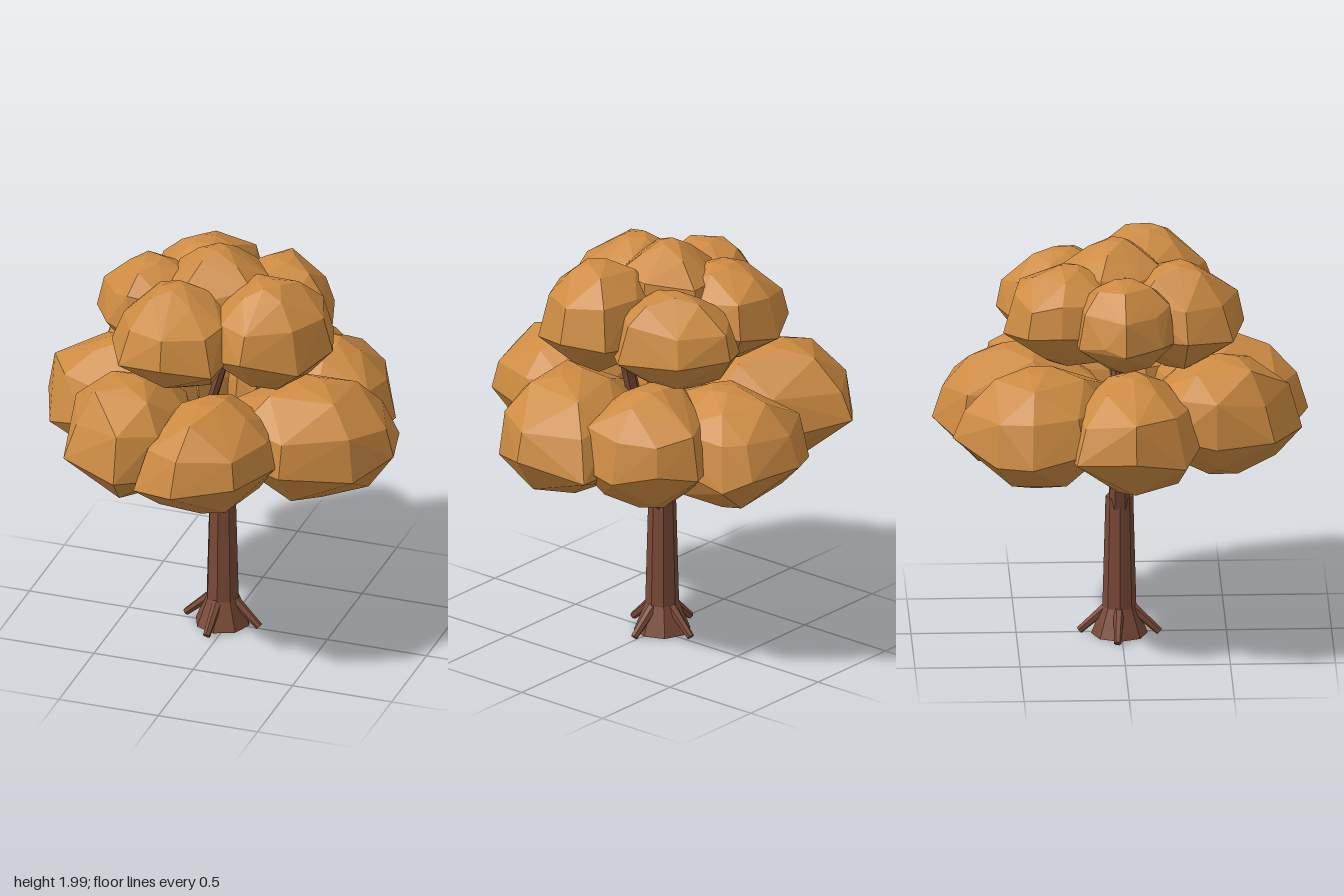
import * as THREE from 'three';
import { ConvexGeometry } from 'three/addons/geometries/ConvexGeometry.js';

const foliage = new THREE.MeshStandardMaterial({ name: 'autumnLeaf', color: 0xcd8b42, flatShading: true });
const bark = new THREE.MeshStandardMaterial({ name: 'bark', color: 0x7a4a37, flatShading: true });

// Repeatable noise in -1..1
function noise(n) {
  const s = Math.sin(n * 12.9898) * 43758.5453;
  return (s - Math.floor(s)) * 2 - 1;
}

// Clump cross-sections: [height fraction, width fraction, width unevenness, height unevenness]
const PROFILE = [
  [0, 0.28, 0, 0], [0.1, 0.64, 0.06, 0.04], [0.37, 1, 0, 0.07],
  [0.71, 0.86, 0.07, 0.05], [0.92, 0.5, 0.08, 0.04], [1, 0.18, 0, 0],
];

// Faceted leaf clump: a plan outline (x, z pairs) stacked between two heights
function clump(name, y0, y1, outline, seed) {
  const corners = [];
  for (let i = 0; i < outline.length; i += 2) corners.push(new THREE.Vector2(outline[i], outline[i + 1]));
  const mid = new THREE.Box2().setFromPoints(corners).getCenter(new THREE.Vector2());
  const points = [];
  PROFILE.forEach(([t, width, unevenWidth, unevenHeight], ring) => {
    corners.forEach((c, i) => {
      // rings above and below the belly carry every other corner, for larger facets
      if (ring !== 2 && ring !== 3 && (i + ring) % 2) return;
      const n = seed * 71 + ring * 11 + i;
      const k = width + unevenWidth * noise(n);
      const y = y0 + (y1 - y0) * (t + unevenHeight * noise(n + 0.5));
      points.push(new THREE.Vector3(mid.x + (c.x - mid.x) * k, y, mid.y + (c.y - mid.y) * k));
    });
  });
  const mesh = new THREE.Mesh(new ConvexGeometry(points), foliage);
  mesh.name = name;
  return mesh;
}

// Tapered faceted limb between two points
function limb(name, from, to, r0, r1, sides) {
  const a = new THREE.Vector3(...from);
  const b = new THREE.Vector3(...to);
  const mesh = new THREE.Mesh(new THREE.CylinderGeometry(r1, r0, a.distanceTo(b), sides), bark);
  mesh.position.copy(a).add(b).multiplyScalar(0.5);
  mesh.quaternion.setFromUnitVectors(new THREE.Vector3(0, 1, 0), b.sub(a).normalize());
  mesh.name = name;
  return mesh;
}

export function createModel() {
  const tree = new THREE.Group();
  tree.name = 'tree';
  const cx = -0.03, cz = -0.01;

  // Trunk with flared foot
  tree.add(limb('trunk', [cx, 0.1, cz], [cx, 0.7, cz], 0.082, 0.066, 8));
  tree.add(limb('trunkFlare', [cx, 0.01, cz], [cx, 0.15, cz], 0.135, 0.08, 8));

  // Four roots
  for (let i = 0; i < 4; i++) {
    const a = (i * Math.PI) / 2 + 0.08;
    const c = Math.cos(a), s = Math.sin(a);
    tree.add(limb('root' + (i + 1),
      [cx + c * 0.19, 0.02, cz + s * 0.19], [cx + c * 0.06, 0.14, cz + s * 0.06], 0.018, 0.025, 6));
  }

  // Forked branches
  tree.add(limb('rightBranch', [-0.05, 0.66, cz], [-0.29, 1.55, 0.0], 0.05, 0.03, 6));
  tree.add(limb('leftBranch', [-0.01, 0.66, cz], [0.25, 1.55, 0.0], 0.05, 0.03, 6));
  tree.add(limb('middleBranch', [-0.14, 1.0, cz], [0.04, 1.6, 0.02], 0.025, 0.022, 6));

  // Wide lower ring, starting at the back right and running round
  const lower = [
    [0.91, 1.47, [-0.47, -0.82, -0.71, -0.62, -0.8, -0.45, -0.73, -0.2, -0.5, -0.03, -0.15, -0.02, 0, -0.3, -0.16, -0.58]],
    [0.85, 1.42, [0.02, -0.9, 0.31, -0.85, 0.4, -0.74, 0.41, -0.4, 0.25, -0.1, 0, -0.08, -0.2, -0.35, -0.21, -0.77]],
    [0.88, 1.46, [0.47, -0.65, 0.63, -0.53, 0.73, -0.33, 0.7, -0.1, 0.45, 0.05, 0.1, 0, 0.08, -0.35, 0.25, -0.57]],
    [0.88, 1.45, [0.79, -0.21, 0.88, 0.13, 0.75, 0.35, 0.43, 0.5, 0.18, 0.42, 0.05, 0.12, 0.22, -0.15, 0.5, -0.22]],
    [0.91, 1.46, [0.41, 0.5, 0.3, 0.77, 0.02, 0.89, -0.2, 0.79, -0.22, 0.45, -0.1, 0.15, 0.15, 0.1, 0.37, 0.25]],
    [0.93, 1.49, [-0.58, 0.71, -0.28, 0.85, -0.1, 0.7, 0, 0.4, -0.12, 0.15, -0.4, 0.1, -0.6, 0.22, -0.64, 0.43]],
    [0.91, 1.47, [-0.79, -0.24, -0.89, 0.04, -0.8, 0.28, -0.6, 0.36, -0.35, 0.32, -0.12, 0.05, -0.3, -0.2, -0.55, -0.28]],
  ];
  // Crown: front, left, back left, back right, right, top
  const upper = [
    [1.42, 1.92, [-0.37, 0.52, -0.14, 0.58, 0.09, 0.5, 0.13, 0.35, 0.1, 0.08, -0.15, -0.06, -0.38, 0.05, -0.48, 0.3]],
    [1.42, 1.95, [0.5, -0.1, 0.57, 0.12, 0.47, 0.34, 0.22, 0.46, 0.05, 0.37, -0.05, 0.1, 0.06, -0.12, 0.27, -0.15]],
    [1.41, 1.87, [0.16, -0.59, 0.38, -0.45, 0.47, -0.15, 0.32, 0.02, 0.1, 0.04, -0.08, -0.15, -0.06, -0.4, 0.03, -0.54]],
    [1.44, 1.91, [-0.22, -0.57, 0, -0.52, 0.06, -0.3, 0.04, -0.02, -0.2, 0.06, -0.42, -0.03, -0.46, -0.3, -0.43, -0.46]],
    [1.46, 1.9, [-0.66, 0, -0.6, -0.1, -0.5, -0.22, -0.25, -0.24, -0.08, 0, -0.2, 0.22, -0.44, 0.24, -0.55, 0.18]],
    [1.5, 2.0, [-0.32, -0.12, -0.12, -0.28, 0.06, -0.3, 0.2, -0.08, 0.18, 0.12, 0.02, 0.23, -0.16, 0.22, -0.3, 0.1]],
  ];
  lower.forEach((b, i) => tree.add(clump('lowerFoliage' + (i + 1), ...b, i + 1)));
  upper.forEach((b, i) => tree.add(clump('upperFoliage' + (i + 1), ...b, i + 11)));
  return tree;
}
